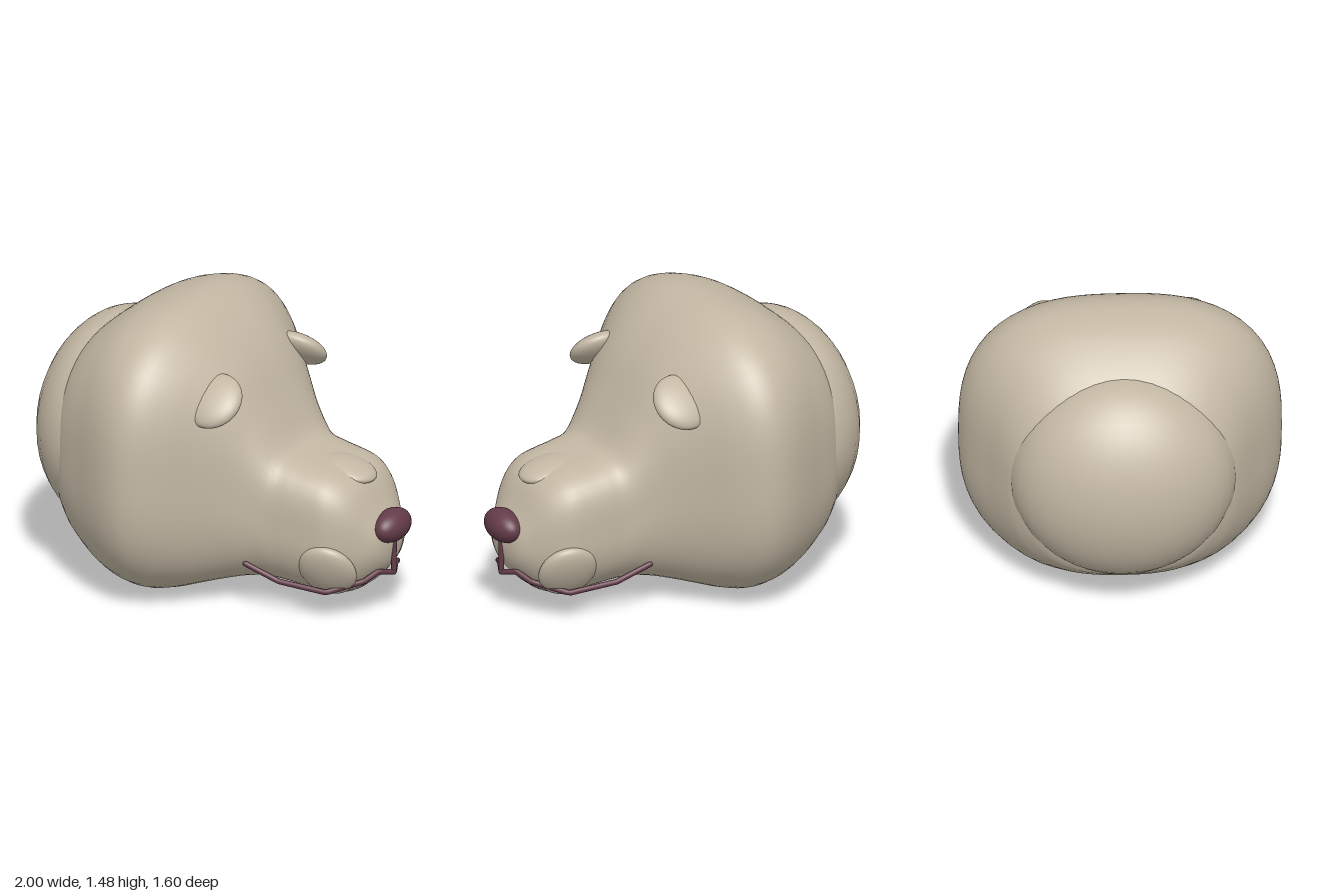
import * as THREE from 'three';

const tan = new THREE.MeshStandardMaterial({ name: 'warm tan', color: 0xc4b8a4 });
const plum = new THREE.MeshStandardMaterial({ name: 'dark plum', color: 0x643c49 });

// Head sections along x: [x, bottom, top, half width, upper squareness, lower squareness]
const sections = [
  [-0.82, 0.55, 0.90, 0.18, 2.4, 2.4],
  [-0.76, 0.27, 1.10, 0.42, 2.5, 2.5],
  [-0.68, 0.175, 1.23, 0.535, 2.6, 2.6],
  [-0.60, 0.12, 1.31, 0.60, 2.7, 2.7],
  [-0.50, 0.06, 1.385, 0.665, 2.75, 2.75],
  [-0.40, 0.025, 1.44, 0.73, 2.75, 2.75],
  [-0.30, 0.007, 1.47, 0.78, 2.75, 2.75],
  [-0.20, 0.005, 1.48, 0.80, 2.75, 2.75],
  [-0.10, 0.025, 1.46, 0.77, 2.75, 2.75],
  [0.00, 0.055, 1.40, 0.69, 2.75, 2.75],
  [0.10, 0.08, 1.31, 0.575, 2.8, 2.7],
  [0.20, 0.10, 1.18, 0.47, 2.9, 2.6],
  [0.30, 0.11, 0.995, 0.39, 3.1, 2.5],
  [0.40, 0.105, 0.825, 0.352, 3.5, 2.4],
  [0.50, 0.092, 0.78, 0.342, 3.8, 2.3],
  [0.60, 0.082, 0.76, 0.335, 3.8, 2.2],
  [0.70, 0.09, 0.735, 0.32, 3.6, 2.2],
  [0.79, 0.135, 0.675, 0.265, 3.2, 2.2],
  [0.86, 0.20, 0.56, 0.195, 2.7, 2.1],
  [0.91, 0.27, 0.47, 0.12, 2.3, 2],
  [0.93, 0.365, 0.375, 0.004, 2, 2],
];

// Smooth loft of rounded-square rings
function headGeometry() {
  const size = new THREE.CatmullRomCurve3(sections.map(s => new THREE.Vector3(s[1], s[2], s[3])), false, 'catmullrom');
  const form = new THREE.CatmullRomCurve3(sections.map(s => new THREE.Vector3(s[0], s[4], s[5])), false, 'catmullrom');
  const rings = (sections.length - 1) * 4, sides = 72;
  const pos = [], idx = [];
  for (let i = 0; i <= rings; i++) {
    const s = size.getPoint(i / rings), f = form.getPoint(i / rings);
    const mid = (s.x + s.y) / 2, half = (s.y - s.x) / 2;
    for (let j = 0; j < sides; j++) {
      const a = j / sides * Math.PI * 2, c = Math.cos(a), d = Math.sin(a);
      const n = d >= 0 ? f.y : f.z;
      const r = Math.pow(Math.pow(Math.abs(c), n) + Math.pow(Math.abs(d), n), -1 / n);
      pos.push(f.x, mid + half * r * d, s.z * r * c);
      if (i < rings) {
        const k = (j + 1) % sides, p = i * sides, q = p + sides;
        idx.push(p + j, q + j, p + k, q + j, q + k, p + k);
      }
    }
  }
  // close both ends
  pos.push(-0.84, 0.725, 0, 0.931, 0.37, 0);
  const back = (rings + 1) * sides, last = rings * sides;
  for (let j = 0; j < sides; j++) {
    const k = (j + 1) % sides;
    idx.push(back, j, k, back + 1, last + k, last + j);
  }
  const g = new THREE.BufferGeometry();
  g.setAttribute('position', new THREE.Float32BufferAttribute(pos, 3));
  g.setIndex(idx);
  g.computeVertexNormals();
  return g;
}

export function createModel() {
  const model = new THREE.Group();
  const add = (name, geometry, material) => {
    const mesh = new THREE.Mesh(geometry, material);
    mesh.name = name;
    model.add(mesh);
    return mesh;
  };
  const ellipsoid = (name, material, center, radii, turn = [0, 0, 0], w = 40, h = 28) => {
    const mesh = add(name, new THREE.SphereGeometry(1, w, h), material);
    mesh.position.set(...center);
    mesh.scale.set(...radii);
    mesh.rotation.set(...turn);
    return mesh;
  };
  const line = (name, points) => {
    const path = new THREE.CurvePath();
    const v = points.map(p => new THREE.Vector3(...p));
    for (let i = 1; i < v.length; i++) path.add(new THREE.LineCurve3(v[i - 1], v[i]));
    add(name, new THREE.TubeGeometry(path, 48, 0.014, 10), plum);
    // rounded ends
    for (const p of [points[0], points[points.length - 1]]) ellipsoid(name + 'End', plum, p, [0.014, 0.014, 0.014], [0, 0, 0], 10, 8);
  };

  add('head', headGeometry(), tan);
  ellipsoid('backOfHead', tan, [-0.6, 0.75, 0], [0.4, 0.56, 0.565], [0, 0, 0], 32, 24);

  // Muzzle pads above and below
  ellipsoid('bridgePad', tan, [0.665, 0.715, 0], [0.15, 0.045, 0.125], [0, 0, -0.22]);
  ellipsoid('chinPad', tan, [0.65, 0.115, 0], [0.13, 0.045, 0.125], [0, 0, 0.2]);

  // Nose
  ellipsoid('nose', plum, [0.915, 0.462, 0], [0.08, 0.083, 0.133]);
  line('noseLine', [[0.927, 0.39, 0], [0.925, 0.32, 0], [0.925, 0.215, 0]]);

  for (const s of [1, -1]) {
    const side = s > 0 ? 'left' : 'right';
    ellipsoid(side + 'Ear', tan, [0.14, 1.11, s * 0.42], [0.147, 0.152, 0.06], [-s * 0.83, 0, 0]);
    ellipsoid(side + 'CheekPad', tan, [0.695, 0.265, s * 0.258], [0.147, 0.16, 0.06], [s * 0.5, s * 0.2, 0]);
    line(side + 'Mouth', [
      [0.925, 0.215, 0], [0.885, 0.238, s * 0.09], [0.85, 0.205, s * 0.165],
      [0.70, 0.157, s * 0.285], [0.46, 0.187, s * 0.335], [0.29, 0.26, s * 0.37],
    ]);
  }
  return model;
}
